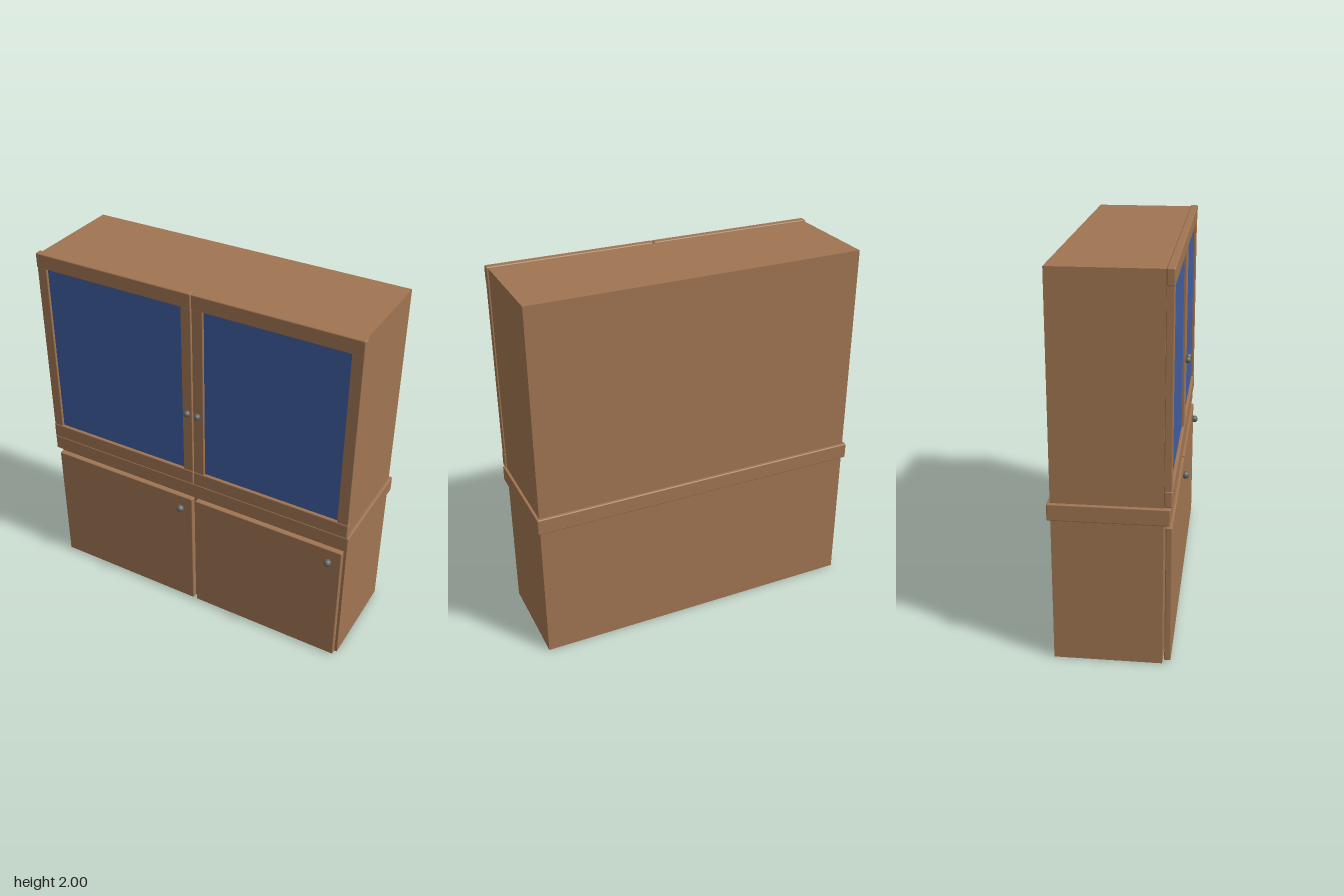
import * as THREE from 'three';
import { RoundedBoxGeometry } from 'three/addons/geometries/RoundedBoxGeometry.js';

export function createModel() {
  const model = new THREE.Group();
  model.name = 'displayCabinet';

  const wood = new THREE.MeshStandardMaterial({ name: 'wood', color: 0xa07552 });
  const glass = new THREE.MeshStandardMaterial({ name: 'blueGlass', color: 0x405d9f });
  const metal = new THREE.MeshStandardMaterial({ name: 'darkMetal', color: 0x626262 });

  // Box given by its limits on each axis, with optional softened edges
  function block(parent, name, material, [x0, x1], [y0, y1], [z0, z1], radius = 0) {
    const size = [x1 - x0, y1 - y0, z1 - z0];
    const geometry = radius
      ? new RoundedBoxGeometry(...size, 2, radius)
      : new THREE.BoxGeometry(...size);
    const mesh = new THREE.Mesh(geometry, material);
    mesh.name = name;
    mesh.position.set((x0 + x1) / 2, (y0 + y1) / 2, (z0 + z1) / 2);
    parent.add(mesh);
    return mesh;
  }

  function knob(parent, x, y, z, radius) {
    const mesh = new THREE.Mesh(new THREE.SphereGeometry(radius, 24, 16), metal);
    mesh.name = 'knob';
    mesh.position.set(x, y, z);
    parent.add(mesh);
  }

  // Carcasses and the ledge between them
  block(model, 'lowerCarcass', wood, [-0.9, 0.9], [0, 0.77], [-0.3, 0.245]);
  block(model, 'upperCarcass', wood, [-0.9, 0.9], [0.85, 1.993], [-0.3, 0.245]);
  block(model, 'ledge', wood, [-0.917, 0.915], [0.766, 0.853], [-0.316, 0.277], 0.006);

  // Upper glazed doors: rails, stiles, pane and knob
  const glazedDoors = [
    { name: 'rightGlazedDoor', x: [-0.91, 0.011], pane: [-0.852, -0.048], knobX: -0.015 },
    { name: 'leftGlazedDoor', x: [0.013, 0.91], pane: [0.076, 0.848], knobX: 0.045 },
  ];
  for (const { name, x, pane, knobX } of glazedDoors) {
    const door = new THREE.Group();
    door.name = name;
    const depth = [0.246, 0.286];
    block(door, 'topRail', wood, x, [1.917, 2], depth, 0.007);
    block(door, 'bottomRail', wood, x, [0.859, 0.944], depth, 0.007);
    block(door, 'stile', wood, [x[0] + 0.002, pane[0]], [0.94, 1.92], [0.246, 0.283], 0.004);
    block(door, 'stile', wood, [pane[1], x[1] - 0.002], [0.94, 1.92], [0.246, 0.283], 0.004);
    block(door, 'pane', glass, [pane[0] - 0.003, pane[1] + 0.003], [0.935, 1.925], [0.262, 0.27]);
    knob(door, knobX, 1.314, 0.295, 0.018);
    model.add(door);
  }

  // Lower solid doors
  const solidDoors = [
    { name: 'rightSolidDoor', x: [-0.89, 0], knobX: -0.07 },
    { name: 'leftSolidDoor', x: [0.02, 0.89], knobX: 0.82 },
  ];
  for (const { name, x, knobX } of solidDoors) {
    const door = new THREE.Group();
    door.name = name;
    block(door, 'panel', wood, x, [0.012, 0.746], [0.254, 0.286], 0.005);
    knob(door, knobX, 0.667, 0.297, 0.021);
    model.add(door);
  }

  return model;
}
